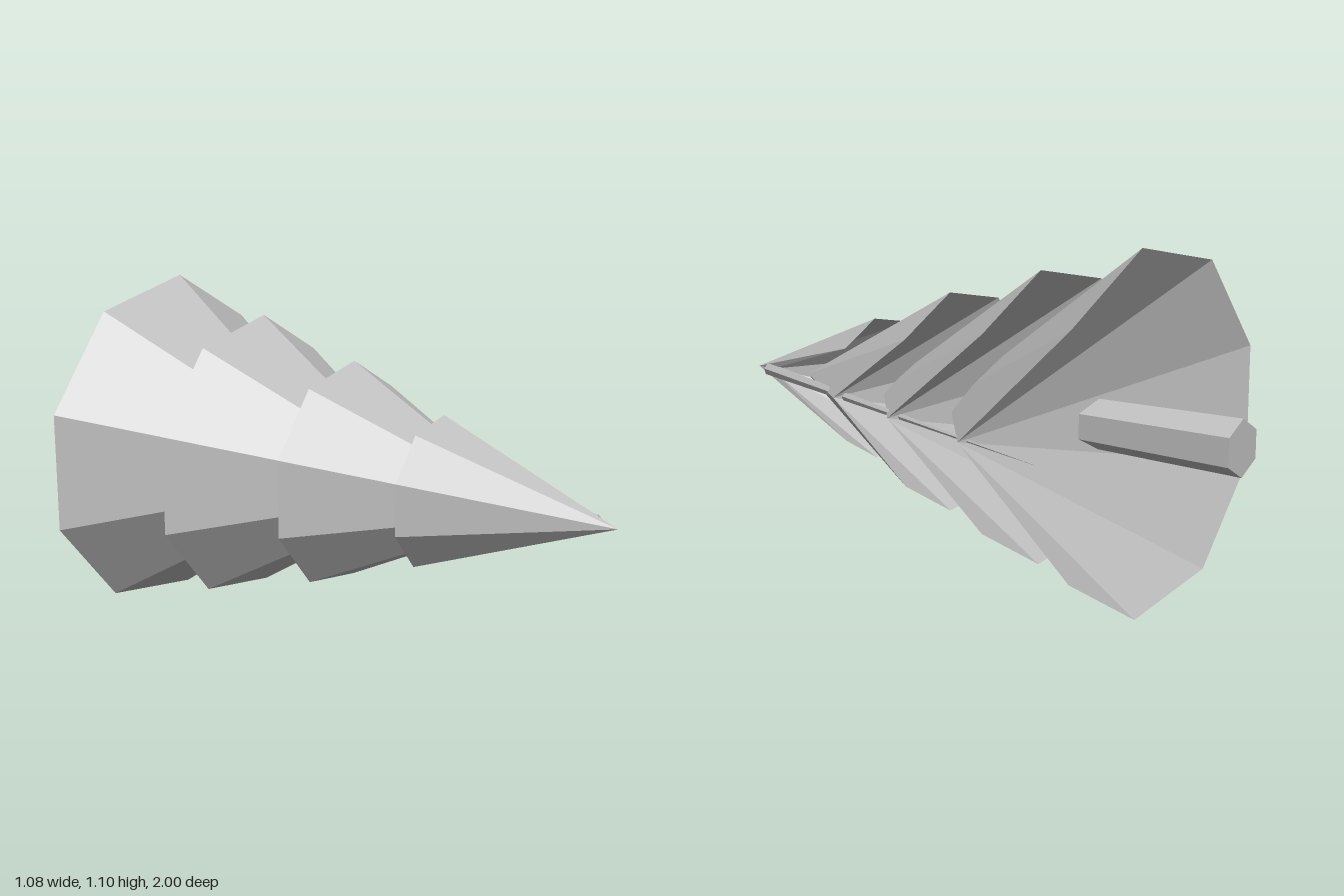
import * as THREE from 'three';

const CX = -0.02, CY = 0.553;

// Nine-sided cone along z whose rim corner on the +x side is pulled forward.
// The underside is a fan from that pulled corner.
function tierGeometry(radius, baseZ, apexZ, pulledX, pulledZ) {
  const n = 9, rim = [[pulledX, CY, pulledZ]], pos = [];
  for (let i = 1; i < n; i++) {
    const a = (i / n) * Math.PI * 2;
    rim.push([CX + radius * Math.cos(a), CY + radius * Math.sin(a), baseZ]);
  }
  const apex = [CX, CY, apexZ];
  for (let i = 0; i < n; i++) pos.push(...apex, ...rim[i], ...rim[(i + 1) % n]);
  for (let i = 1; i < n - 1; i++) pos.push(...rim[0], ...rim[i + 1], ...rim[i]);
  const g = new THREE.BufferGeometry();
  g.setAttribute('position', new THREE.Float32BufferAttribute(pos, 3));
  g.computeVertexNormals();
  return g;
}

export function createModel() {
  const group = new THREE.Group();
  const grey = new THREE.MeshStandardMaterial({ color: 0xbfbfbf, flatShading: true });
  grey.name = 'plain grey';
  const add = (name, geometry) => {
    const mesh = new THREE.Mesh(geometry, grey);
    mesh.name = name;
    group.add(mesh);
    return mesh;
  };

  // Foliage tiers: radius, base z, apex z, pulled corner x and z
  [
    [0.56, -0.705, 0.1, 0.45, -0.335],
    [0.465, -0.333, 0.39, 0.34, 0.04],
    [0.362, 0.04, 0.75, 0.223, 0.387],
    [0.24, 0.387, 1, 0, 0.92],
  ].forEach((t, i) => add('foliageTier' + (i + 1), tierGeometry(...t)));

  // Trunk, slightly wider at its foot
  const trunk = new THREE.CylinderGeometry(0.073, 0.086, 0.8, 6);
  trunk.rotateX(Math.PI / 2);
  add('trunk', trunk).position.set(-0.007, CY, -0.6);

  // Long thin spike running from the tip past the side of the tiers
  const from = new THREE.Vector3(0.005, CY, 0.92);
  const to = new THREE.Vector3(0.53, CY, -0.69);
  const dir = to.clone().sub(from);
  const spike = add('spike', new THREE.ConeGeometry(0.022, dir.length(), 6));
  spike.position.copy(from).add(to).multiplyScalar(0.5);
  spike.quaternion.setFromUnitVectors(new THREE.Vector3(0, 1, 0), dir.normalize());

  return group;
}
